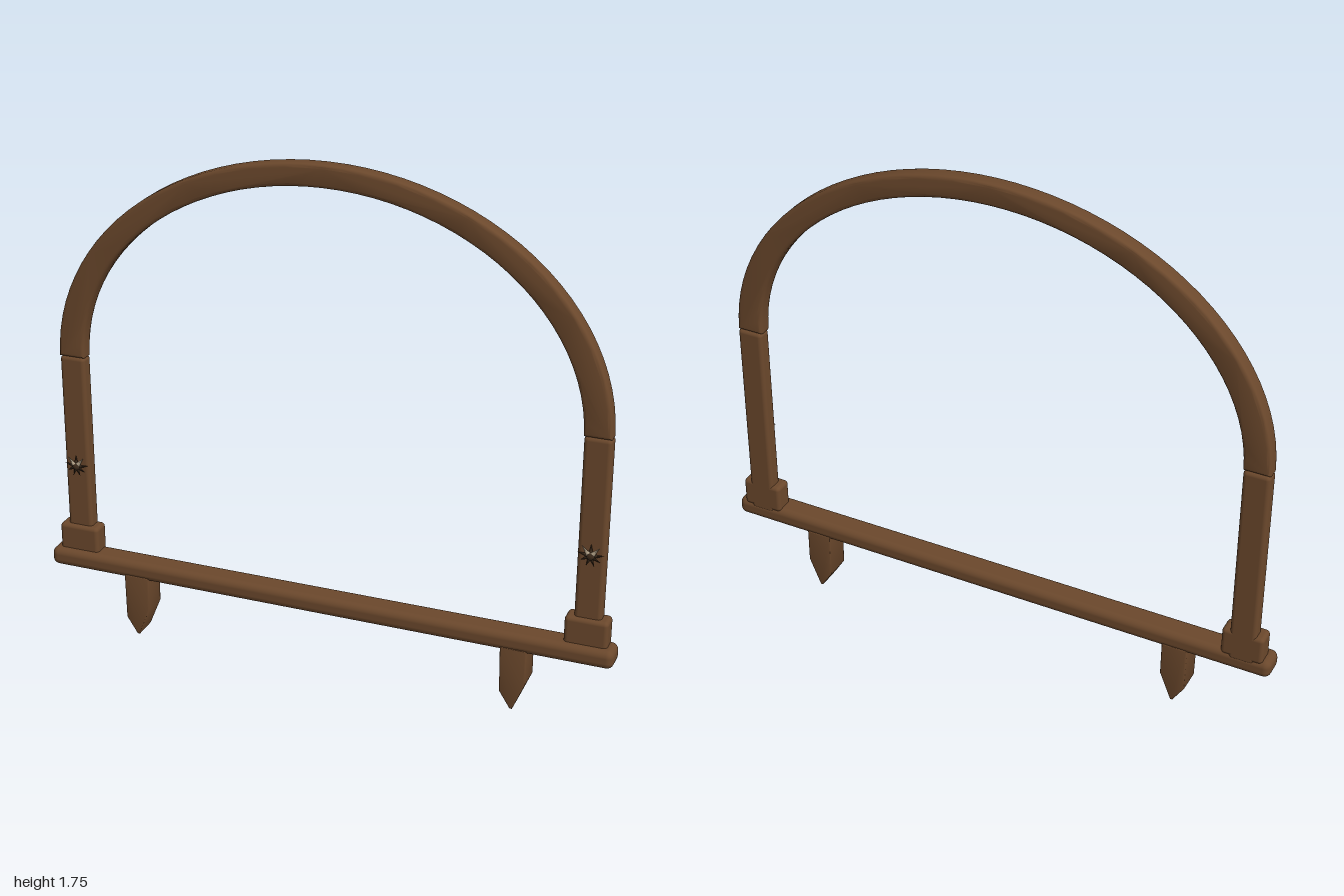
import * as THREE from 'three';
import { toCreasedNormals } from 'three/addons/utils/BufferGeometryUtils.js';
import { RoundedBoxGeometry } from 'three/addons/geometries/RoundedBoxGeometry.js';

const paint = (name, color) => {
  const m = new THREE.MeshStandardMaterial({ color });
  m.name = name;
  return m;
};

export function createModel() {
  const group = new THREE.Group();
  const wood = paint('brown wood', 0x6b482c);
  const darkLeaf = paint('dark leaf', 0x3d2c1d);
  const paleLeaf = paint('pale leaf', 0xb5a48a);

  const add = (name, geometry, material, parent = group) => {
    const mesh = new THREE.Mesh(geometry, material);
    mesh.name = name;
    parent.add(mesh);
    return mesh;
  };

  // Softened box given by its limits on each axis
  const box = (name, [x0, x1], [y0, y1], [z0, z1], radius) => {
    const mesh = add(name, new RoundedBoxGeometry(x1 - x0, y1 - y0, z1 - z0, 3, radius), wood);
    mesh.position.set((x0 + x1) / 2, (y0 + y1) / 2, (z0 + z1) / 2);
  };

  // Bevelled slab from an outline, spanning z0 to z1
  const slab = (name, outline, z0, z1, bevel) => {
    const geometry = new THREE.ExtrudeGeometry(new THREE.Shape(outline), {
      depth: z1 - z0 - 2 * bevel, bevelEnabled: true, bevelThickness: bevel,
      bevelSize: bevel, bevelOffset: -bevel, bevelSegments: 3,
    });
    geometry.translate(0, 0, z0 + bevel);
    add(name, toCreasedNormals(geometry, 0.7), wood);
  };

  // Half-elliptical arch
  const arc = (rx, ry) => Array.from({ length: 49 }, (_, i) => {
    const a = Math.PI * i / 48;
    return new THREE.Vector2(rx * Math.cos(a), 0.99 + ry * Math.sin(a));
  });
  slab('arch', [...arc(0.945, 0.765), ...arc(0.855, 0.69).reverse()], -0.046, 0.012, 0.012);

  // Sill
  box('sill', [-1, 1], [0.21, 0.275], [-0.047, 0.047], 0.024);

  // Pointed leaf lying in the xy plane, domed towards +z
  const leaf = new THREE.ConeGeometry(0.011, 0.044, 5);
  leaf.translate(0, 0.022, 0);
  leaf.scale(1, 1, 0.5);

  for (const [side, s] of [['right', -1], ['left', 1]]) {
    // Post and its foot block
    const c = s * 0.901;
    box(side + 'Post', [c - 0.045, c + 0.045], [0.25, 0.99], [-0.046, 0.007], 0.014);
    box(side + 'FootBlock', [c - 0.072, c + 0.072], [0.262, 0.365], [-0.046, 0.022], 0.014);

    // Pointed bracket under the sill
    const b = s * 0.673;
    slab(side + 'Bracket', [
      [-0.045, 0.225], [-0.042, 0.06], [-0.004, 0], [0.004, 0], [0.045, 0.1], [0.045, 0.225],
    ].map(([x, y]) => new THREE.Vector2(b + x, y)), -0.047, 0.047, 0.005);

    // Leaf rosette on the post front
    const rosette = new THREE.Group();
    rosette.name = side + 'Rosette';
    rosette.position.set(c, 0.59, 0.012);
    group.add(rosette);
    for (let i = 0; i < 9; i++) {
      const pale = i === 1 || i === 8;
      const petal = add('leaf', leaf, pale ? paleLeaf : darkLeaf, rosette);
      petal.rotation.z = i * Math.PI * 2 / 9;
      petal.scale.setScalar(i > 2 && i < 7 ? 0.85 : 1);
      petal.position.z = pale ? 0.004 : 0;
    }
    const heart = add('rosetteCentre', new THREE.SphereGeometry(0.014, 10, 6), darkLeaf, rosette);
    heart.scale.z = 0.9;
  }
  return group;
}
